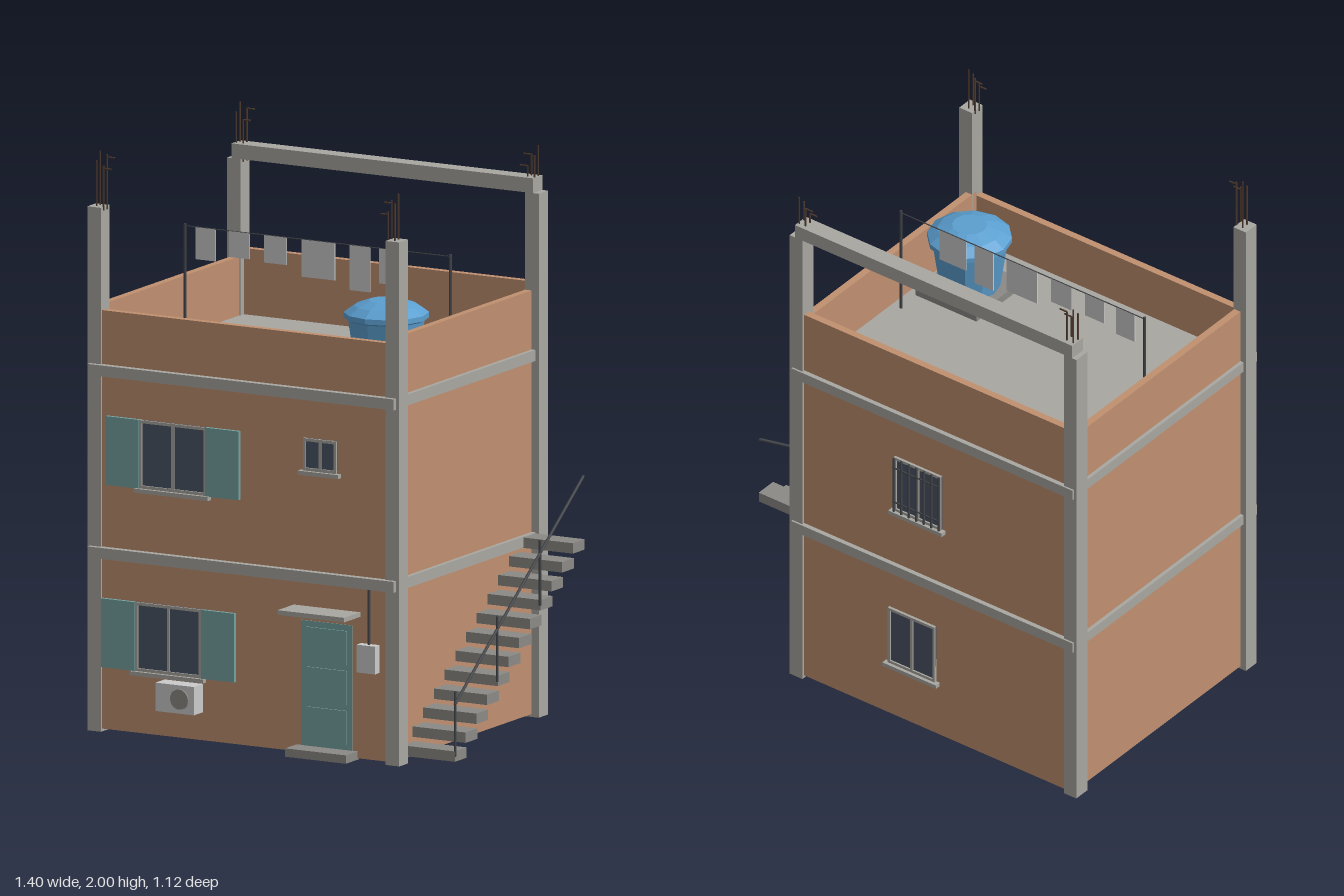
import * as THREE from 'three';

const mat = (color, extra = {}) => new THREE.MeshStandardMaterial({ color, ...extra });

export function createModel() {
  const model = new THREE.Group();
  model.name = 'house';
  const brick = mat(0xc09070), concrete = mat(0xa9a7a1), stone = mat(0x8c8a86);
  const teal = mat(0x74a3a1), glass = mat(0x4b5465), iron = mat(0x44474b);
  const rust = mat(0x4f3b2f), pale = mat(0xcccccc), blue = mat(0x5b9fd0, { flatShading: true });
  const cloth = mat(0xcccccc, { side: THREE.DoubleSide });

  // Box given by its limits on each axis
  const box = (name, m, x0, x1, y0, y1, z0, z1, parent = model) => {
    const mesh = new THREE.Mesh(new THREE.BoxGeometry(x1 - x0, y1 - y0, z1 - z0), m);
    mesh.position.set((x0 + x1) / 2, (y0 + y1) / 2, (z0 + z1) / 2);
    mesh.name = name;
    parent.add(mesh);
    return mesh;
  };
  // Thin round bar between two points
  const rod = (name, m, a, b, r, parent = model) => {
    const p = new THREE.Vector3(...a), d = new THREE.Vector3(...b).sub(p);
    const mesh = new THREE.Mesh(new THREE.CylinderGeometry(r, r, d.length(), 6), m);
    mesh.position.copy(p).addScaledVector(d, 0.5);
    mesh.quaternion.setFromUnitVectors(new THREE.Vector3(0, 1, 0), d.normalize());
    mesh.name = name;
    parent.add(mesh);
    return mesh;
  };

  // Walls, rising into the roof parapet
  box('frontWall', brick, -0.68, 0.489, 0.01, 1.457, 0.424, 0.45);
  box('backWall', brick, -0.68, 0.489, 0.01, 1.5, -0.54, -0.514);
  box('leftWall', brick, 0.463, 0.489, 0.01, 1.475, -0.514, 0.424);
  box('rightWall', brick, -0.68, -0.654, 0.01, 1.475, -0.514, 0.424);

  // Corner columns with bare reinforcement on top
  for (const [x0, x1, inner, outer, dir] of [[-0.703, -0.65, -0.65, -0.677, 1], [0.463, 0.517, 0.463, 0.489, -1]]) {
    for (const [z0, z1] of [[0.398, 0.458], [-0.55, -0.488]]) {
      box('column', concrete, x0, x1, 0, 1.812, z0, z1);
      const bars = new THREE.Group();
      bars.name = 'reinforcementBars';
      model.add(bars);
      const front = z0 > 0;
      [z0 + 0.017, z1 - 0.019].forEach((z, i) => {
        const top = (dir > 0 ? 1.99 : 1.945) - 0.035 * i;
        rod('bar', rust, [outer, 1.8, z], [outer, dir > 0 ? 2 - 0.03 * i : 1.97 - 0.03 * i, z], 0.003, bars);
        rod('bar', rust, [inner, 1.8, z], [inner, front ? top : top - 0.01, z], 0.003, bars);
        rod('hook', rust, [inner, top - 0.01, z], [inner + dir * 0.03, top - 0.01, z], 0.003, bars);
      });
    }
  }
  box('topBeam', concrete, -0.685, 0.495, 1.812, 1.863, -0.55, -0.488);

  // Floor slabs with a ring of beams at each level
  for (const y of [0.602, 1.233]) {
    const top = y + 0.038;
    box('floorSlab', concrete, -0.654, 0.463, y, top, -0.514, 0.424);
    box('frontBeam', concrete, -0.693, 0.505, y, top, 0.435, 0.475);
    box('backBeam', concrete, -0.693, 0.505, y, top, -0.557, -0.51);
    box('leftBeam', concrete, 0.463, 0.505, y, top, -0.54, 0.435);
    box('rightBeam', concrete, -0.693, -0.654, y, top, -0.54, 0.435);
  }

  // Two-pane window built facing +z, set through the wall
  const makeWindow = (name, x, y, w, h, z, back = false) => {
    const g = new THREE.Group();
    g.name = name;
    const f = 0.01, a = w / 2, b = h / 2;
    box('glass', glass, -a, a, -b, b, -0.032, 0.004, g);
    for (const s of [-1, 1]) {
      box('frameSide', concrete, s * (a - f / 2) - f / 2, s * (a - f / 2) + f / 2, -b, b, -0.034, 0.01, g);
      box('frameRail', concrete, -a, a, s * (b - f / 2) - f / 2, s * (b - f / 2) + f / 2, -0.034, 0.01, g);
    }
    box('mullion', concrete, -f / 2, f / 2, -b, b, -0.034, 0.009, g);
    box('sill', concrete, -a - 0.014, a + 0.014, -b - 0.014, -b, -0.01, 0.022, g);
    g.position.set(x, y, z);
    if (back) g.rotation.y = Math.PI;
    model.add(g);
    return g;
  };
  const lower = makeWindow('lowerFrontWindow', -0.386, 0.344, 0.258, 0.238, 0.45);
  const upper = makeWindow('upperFrontWindow', -0.369, 0.976, 0.262, 0.236, 0.45);
  for (const g of [lower, upper]) {
    for (const s of [-1, 1]) {
      const c = s * 0.195;
      box('shutter', teal, c - 0.065, c + 0.065, -0.119, 0.119, -0.005, 0.013, g);
    }
  }
  makeWindow('smallWindow', 0.206, 1.042, 0.13, 0.112, 0.45);
  makeWindow('lowerBackWindow', 0, 0.337, 0.2, 0.226, -0.54, true);
  const barred = makeWindow('upperBackWindow', -0.025, 0.972, 0.2, 0.22, -0.54, true);
  for (let i = 0; i < 7; i++) {
    const x = -0.096 + i * 0.032;
    rod('windowBar', iron, [x, -0.11, 0.015], [x, 0.11, 0.015], 0.004, barred);
  }
  for (const y of [-0.07, 0.07]) rod('windowBar', iron, [-0.1, y, 0.015], [0.1, y, 0.015], 0.003, barred);

  // Panelled door, step and canopy
  box('door', teal, 0.13, 0.33, 0.03, 0.467, 0.418, 0.453);
  for (let i = 0; i < 3; i++) {
    const y = 0.052 + i * 0.138;
    box('doorPanel', teal, 0.15, 0.31, y, y + 0.118, 0.45, 0.458);
  }
  box('doorStep', stone, 0.112, 0.35, 0.005, 0.034, 0.44, 0.53);
  box('canopy', concrete, 0.1, 0.36, 0.5, 0.516, 0.44, 0.56);

  // Air conditioner and electricity meter
  box('airConditioner', pale, -0.405, -0.255, 0.107, 0.205, 0.45, 0.512);
  const fan = new THREE.Mesh(new THREE.CylinderGeometry(0.035, 0.035, 0.012, 20), stone);
  fan.rotation.x = Math.PI / 2;
  fan.position.set(-0.31, 0.157, 0.512);
  fan.name = 'fan';
  model.add(fan);
  box('meterBox', pale, 0.364, 0.436, 0.314, 0.41, 0.45, 0.482);
  rod('meterPipe', iron, [0.4, 0.41, 0.46], [0.4, 0.602, 0.46], 0.005);

  // Cantilevered outside stairs and handrail
  for (let i = 0; i < 12; i++) {
    const z = 0.353 - i * 0.0727, y = 0.041 + i * 0.0525;
    box('stairTread', stone, 0.485, 0.697, y - 0.018, y + 0.018, z - 0.04, z + 0.04);
  }
  for (const [z, y] of [[0.387, 0.06], [0.102, 0.268], [-0.188, 0.48]]) {
    rod('railPost', iron, [0.695, y - 0.02, z], [0.695, y + 0.206, z], 0.005);
  }
  rod('handrail', iron, [0.695, 0.22, 0.39], [0.695, 0.855, -0.482], 0.005);

  // Water tank on its plinth
  box('tankPlinth', stone, 0.172, 0.432, 1.27, 1.3, 0.042, 0.302);
  const profile = [[0, 1.3], [0.105, 1.3], [0.13, 1.475], [0.145, 1.482], [0.145, 1.5],
    [0.11, 1.524], [0.06, 1.542], [0, 1.542]].map(([r, y]) => new THREE.Vector2(r, y));
  const tank = new THREE.Mesh(new THREE.LatheGeometry(profile, 12), blue);
  tank.position.set(0.304, 0, 0.176);
  tank.name = 'waterTank';
  model.add(tank);

  // Washing line
  for (const x of [-0.612, 0.425]) rod('linePost', iron, [x, 1.265, -0.048], [x, 1.672, -0.048], 0.005);
  rod('clothesLine', iron, [-0.612, 1.664, -0.048], [0.425, 1.664, -0.048], 0.002);
  for (const [x0, x1, y] of [[-0.571, -0.492, 1.553], [-0.44, -0.36, 1.574], [-0.302, -0.214, 1.569],
    [-0.156, -0.026, 1.535], [0.032, 0.111, 1.508], [0.148, 0.259, 1.543]]) {
    box('laundry', cloth, x0, x1, y, 1.664, -0.05, -0.046);
  }
  return model;
}
